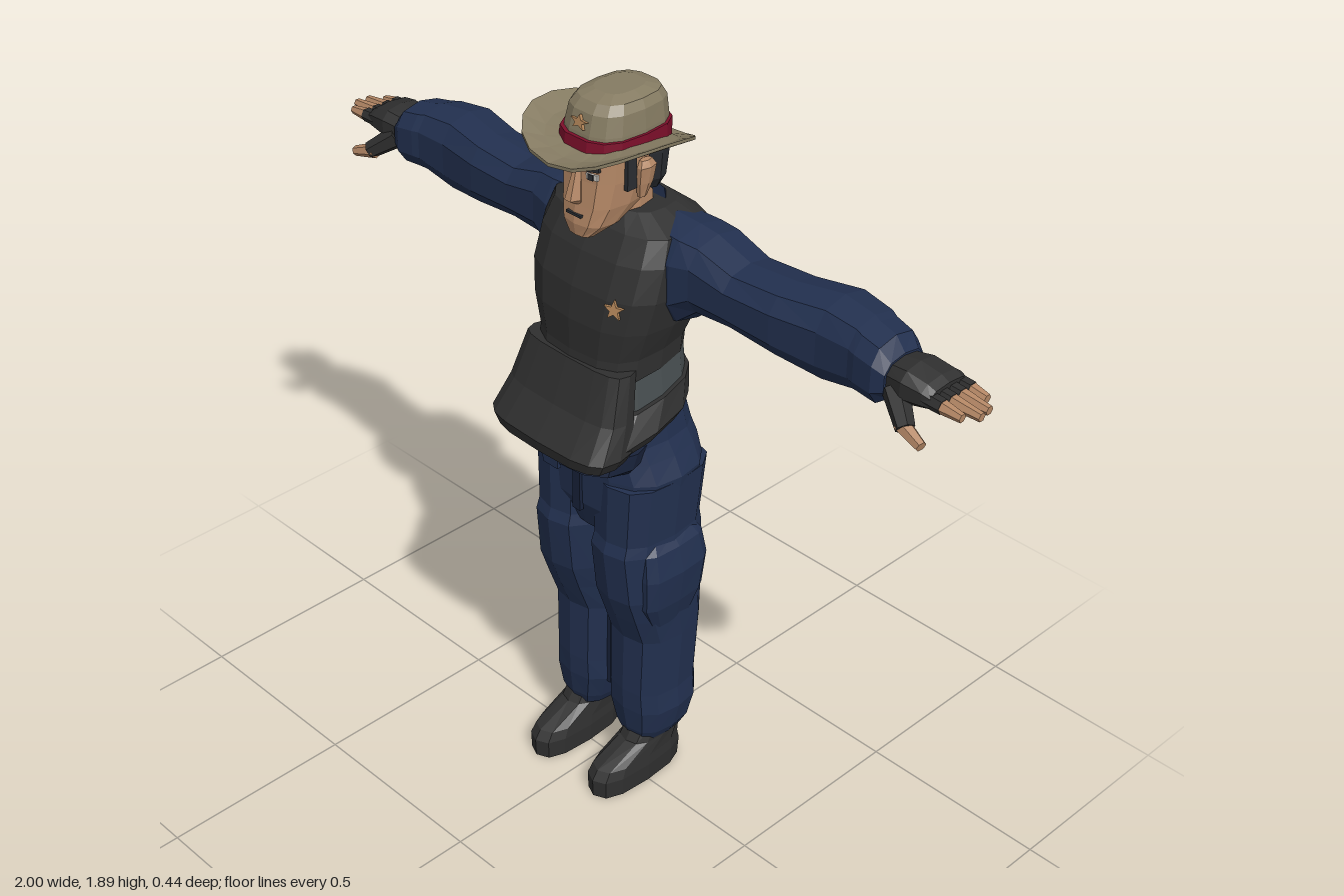
import * as THREE from 'three';

const mat = (name, color) => new THREE.MeshStandardMaterial({ name, color });
const M = {
  navy: mat('navy cloth', 0x22304f), dark: mat('dark navy cloth', 0x18223a),
  black: mat('black vest', 0x2f2f2f), slate: mat('slate strap', 0x474e50),
  skin: mat('skin', 0xb58866), hat: mat('khaki felt', 0x857b62),
  red: mat('red band', 0x7c0f2a), hair: mat('dark hair', 0x2a2d32),
  gold: mat('badge brass', 0xb5875a), white: mat('eye white', 0xc9c6c0),
};

// Faceted closed loft. Ring: [y, centre x, half width, front z, back z, tilt]
function loft(rings, n = 12, p = 0.75) {
  const pw = v => Math.sign(v) * Math.abs(v) ** p;
  const pts = rings.map(([y, cx, rx, zf, zb, tilt = 0]) => {
    const zc = (zf + zb) / 2, rz = (zf - zb) / 2;
    return Array.from({ length: n }, (_, j) => {
      const a = (j / n) * Math.PI * 2, dz = rz * pw(Math.sin(a));
      return [cx + rx * pw(Math.cos(a)), y - tilt * dz, zc + dz];
    });
  });
  const centre = ([y, cx, , zf, zb]) => [cx, y, (zf + zb) / 2];
  const c0 = centre(rings[0]), c1 = centre(rings.at(-1)), out = [];
  for (let j = 0; j < n; j++) {
    const k = (j + 1) % n;
    for (let i = 0; i < pts.length - 1; i++) {
      const a = pts[i][j], b = pts[i][k], c = pts[i + 1][k], d = pts[i + 1][j];
      out.push(...a, ...d, ...b, ...b, ...d, ...c);
    }
    out.push(...c0, ...pts[0][j], ...pts[0][k], ...c1, ...pts.at(-1)[k], ...pts.at(-1)[j]);
  }
  const g = new THREE.BufferGeometry();
  g.setAttribute('position', new THREE.Float32BufferAttribute(out, 3));
  return facet(g);
}

function facet(g) {
  const f = g.index ? g.toNonIndexed() : g;
  f.computeVertexNormals();
  return f;
}

// Mirror across x and restore the triangle order
function mirror(g) {
  const m = g.clone().scale(-1, 1, 1), p = m.attributes.position;
  const u = new THREE.Vector3(), v = new THREE.Vector3();
  for (let i = 0; i < p.count; i += 3) {
    u.fromBufferAttribute(p, i + 1);
    v.fromBufferAttribute(p, i + 2);
    p.setXYZ(i + 1, v.x, v.y, v.z);
    p.setXYZ(i + 2, u.x, u.y, u.z);
  }
  return facet(m);
}

// Tapered rod between two points
function rod(a, b, r0, r1) {
  const A = new THREE.Vector3(...a), B = new THREE.Vector3(...b), d = B.clone().sub(A);
  const g = new THREE.CylinderGeometry(r1, r0, d.length(), 6);
  g.applyQuaternion(new THREE.Quaternion().setFromUnitVectors(new THREE.Vector3(0, 1, 0), d.normalize()));
  return facet(g.translate(...A.add(B).multiplyScalar(0.5).toArray()));
}

function box(w, h, d, x, y, z, ry = 0, rz = 0) {
  return facet(new THREE.BoxGeometry(w, h, d).rotateZ(rz).rotateY(ry).translate(x, y, z));
}

function star(r) {
  const s = new THREE.Shape();
  for (let i = 0; i < 10; i++) {
    const a = Math.PI / 2 + (i * Math.PI) / 5, q = i % 2 ? r * 0.42 : r;
    s[i ? 'lineTo' : 'moveTo'](q * Math.cos(a), q * Math.sin(a));
  }
  return facet(new THREE.ExtrudeGeometry(s, { depth: 0.008, bevelEnabled: false }));
}

export function createModel() {
  const root = new THREE.Group();
  root.name = 'hatted guard';
  const add = (name, g, m) => {
    const mesh = new THREE.Mesh(g, m);
    mesh.name = name;
    root.add(mesh);
  };
  const pair = (name, g, m) => {
    add('left ' + name, g, m);
    add('right ' + name, mirror(g), m);
  };

  // Boots and baggy trousers
  pair('boot', loft([[0, 0.107, 0.055, 0.145, -0.14], [0.05, 0.107, 0.056, 0.147, -0.145],
    [0.075, 0.107, 0.052, 0.13, -0.14], [0.115, 0.107, 0.05, 0.03, -0.14], [0.16, 0.107, 0.05, 0, -0.14]]), M.black);
  pair('trouser leg', loft([[0.12, 0.1, 0.06, 0.01, -0.15], [0.15, 0.1, 0.076, 0.02, -0.165],
    [0.22, 0.097, 0.094, 0.03, -0.18], [0.28, 0.096, 0.09, 0.032, -0.18], [0.45, 0.097, 0.094, 0.03, -0.19],
    [0.53, 0.1, 0.094, 0.06, -0.19], [0.6, 0.1, 0.097, 0.085, -0.19], [0.74, 0.097, 0.096, 0.1, -0.19],
    [0.77, 0.097, 0.093, 0.09, -0.185], [0.93, 0.1, 0.098, 0.088, -0.2]]), M.navy);
  pair('thigh pocket', loft([[0.51, 0.165, 0.025, 0.01, -0.12], [0.58, 0.17, 0.037, 0.045, -0.15],
    [0.67, 0.17, 0.046, 0.05, -0.16], [0.74, 0.165, 0.037, 0.045, -0.15], [0.77, 0.16, 0.022, 0.03, -0.13]], 10, 0.6), M.navy);
  pair('inner seam', box(0.03, 0.5, 0.1, 0.016, 0.46, -0.07), M.dark);
  add('hips', loft([[0.76, 0, 0.12, 0.06, -0.15], [0.84, 0, 0.19, 0.088, -0.192], [0.94, 0, 0.2, 0.09, -0.205],
    [0.99, 0, 0.178, 0.095, -0.205], [1.03, 0, 0.162, 0.1, -0.195], [1.13, 0, 0.15, 0.08, -0.165]], 16), M.navy);
  add('belt', loft([[0.975, 0, 0.14, 0.115, 0], [1.0, 0, 0.162, 0.175, -0.04], [1.04, 0, 0.165, 0.16, -0.05]], 12), M.dark);
  add('buckle', box(0.05, 0.035, 0.012, 0, 1.005, 0.172), M.navy);
  add('fly', box(0.025, 0.16, 0.012, 0, 0.9, 0.09), M.dark);

  // Vest, side straps and flared hem
  add('vest', loft([[1.24, 0, 0.161, 0.12, -0.16, 0.15], [1.29, 0, 0.163, 0.113, -0.163, 0.08],
    [1.36, 0, 0.187, 0.115, -0.182], [1.44, 0, 0.203, 0.105, -0.202], [1.52, 0, 0.203, 0.075, -0.208],
    [1.58, 0, 0.19, 0.04, -0.195], [1.612, 0, 0.11, 0, -0.155]], 16, 0.7), M.black);
  add('waist strap', loft([[1.14, 0, 0.172, 0.12, -0.16, 0.2], [1.26, 0, 0.156, 0.108, -0.157, 0.2]], 16, 0.7), M.slate);
  add('hem', loft([[1.075, 0, 0.185, 0.205, -0.135, 0.2], [1.105, 0, 0.2, 0.212, -0.158, 0.2],
    [1.17, 0, 0.178, 0.135, -0.168, 0.22]], 16, 0.7), M.black);
  add('front panel', loft([[1.045, 0, 0.18, 0.215, 0.07], [1.075, 0, 0.196, 0.222, 0.06],
    [1.15, 0, 0.18, 0.165, 0.05], [1.26, 0, 0.16, 0.122, 0.03]], 16, 0.6), M.black);
  const badge = star(0.025).rotateX(-0.1).rotateY(0.35).translate(0.125, 1.425, 0.091);
  add('chest star', facet(badge), M.gold);
  add('collar', loft([[1.54, 0, 0.115, 0.04, -0.18, 0.1], [1.6, 0, 0.088, 0.005, -0.14, 0.3]], 12), M.dark);

  // Sleeves, lofted upright then laid along x
  const along = (rings, n, p) => facet(loft(rings, n, p).rotateZ(-Math.PI / 2));
  pair('sleeve', along([[0.13, -1.475, 0.13, 0, -0.19], [0.2, -1.48, 0.12, 0.005, -0.2], [0.25, -1.498, 0.093, -0.005, -0.2],
    [0.35, -1.487, 0.074, -0.01, -0.19], [0.48, -1.483, 0.085, -0.015, -0.195], [0.6, -1.481, 0.099, -0.03, -0.217],
    [0.69, -1.487, 0.085, -0.03, -0.2], [0.71, -1.487, 0.081, -0.025, -0.19], [0.76, -1.482, 0.078, -0.022, -0.18],
    [0.787, -1.478, 0.05, -0.035, -0.165]], 10), M.navy);
  pair('glove', along([[0.77, -1.478, 0.042, -0.045, -0.155], [0.83, -1.484, 0.046, -0.033, -0.165],
    [0.88, -1.482, 0.034, -0.04, -0.173], [0.9, -1.479, 0.026, -0.045, -0.17]], 10), M.black);

  // Fingerless gloves: covered knuckles and bare fingertips
  [0.975, 1.0, 0.995, 0.965].forEach((tip, i) => {
    const z = -0.061 - i * 0.031;
    pair('knuckle ' + (i + 1), rod([0.88, 1.48, z], [0.925, 1.478, z], 0.019, 0.018), M.black);
    pair('finger ' + (i + 1), rod([0.92, 1.478, z], [tip, 1.474, z], 0.017, 0.011), M.skin);
  });
  pair('thumb base', rod([0.8, 1.465, -0.06], [0.865, 1.415, -0.02], 0.03, 0.022), M.black);
  pair('thumb', rod([0.85, 1.418, -0.025], [0.915, 1.398, -0.012], 0.02, 0.013), M.skin);

  // Neck, head and face
  add('neck', loft([[1.5, 0, 0.078, 0.045, -0.12], [1.575, 0, 0.073, 0.035, -0.115], [1.68, 0, 0.068, 0.03, -0.11]], 10), M.skin);
  add('head', loft([[1.565, 0, 0.034, 0.092, 0.045], [1.595, 0, 0.064, 0.097, -0.03], [1.64, 0, 0.08, 0.092, -0.085],
    [1.7, 0, 0.088, 0.086, -0.11], [1.76, 0, 0.09, 0.085, -0.12], [1.81, 0, 0.08, 0.07, -0.12]], 12), M.skin);
  add('nose', loft([[1.645, 0, 0.014, 0.1, 0.07], [1.657, 0, 0.019, 0.118, 0.07], [1.73, 0, 0.009, 0.093, 0.07]], 6, 1), M.skin);
  add('mouth', box(0.045, 0.006, 0.008, 0, 1.618, 0.094), M.hair);
  pair('eye', box(0.03, 0.014, 0.008, 0.041, 1.718, 0.078, 0.19), M.white);
  pair('pupil', box(0.014, 0.014, 0.008, 0.04, 1.718, 0.081, 0.19), M.hair);
  pair('eyebrow', box(0.042, 0.01, 0.008, 0.041, 1.736, 0.08, 0.19, 0.15), M.hair);
  pair('ear', loft([[1.655, 0.092, 0.009, -0.01, -0.035], [1.69, 0.097, 0.012, -0.003, -0.05],
    [1.73, 0.102, 0.013, 0, -0.055], [1.745, 0.098, 0.009, -0.01, -0.045]], 6, 1), M.skin);
  pair('sideburn', box(0.012, 0.09, 0.028, 0.087, 1.725, 0.008), M.hair);
  add('hair', loft([[1.64, 0, 0.066, -0.07, -0.12], [1.67, 0, 0.084, -0.045, -0.132],
    [1.74, 0, 0.094, -0.03, -0.137], [1.8, 0, 0.092, -0.02, -0.135]], 12), M.hair);

  // Hat: brim curled up at the sides, dented crown, red band
  const brim = loft([[1.752, 0, 0.085, 0.08, -0.14], [1.742, 0, 0.135, 0.125, -0.165], [1.743, 0, 0.182, 0.17, -0.19],
    [1.751, 0, 0.182, 0.17, -0.19], [1.754, 0, 0.135, 0.125, -0.165], [1.77, 0, 0.085, 0.08, -0.14]], 20, 0.85);
  const p = brim.attributes.position;
  for (let i = 0; i < p.count; i++) {
    p.setY(i, p.getY(i) + 2 * p.getX(i) ** 2 + 0.1 * p.getZ(i));
  }
  add('hat brim', facet(brim), M.hat);
  add('hat crown', loft([[1.755, 0, 0.093, 0.088, -0.148], [1.81, 0, 0.09, 0.08, -0.15], [1.855, 0, 0.084, 0.068, -0.146],
    [1.875, 0, 0.072, 0.05, -0.135], [1.886, 0, 0.045, 0.015, -0.1]], 14, 0.7), M.hat);
  add('hat band', loft([[1.76, 0, 0.099, 0.095, -0.155], [1.802, 0, 0.097, 0.09, -0.156]], 14, 0.7), M.red);
  add('hat badge', facet(star(0.022).scale(1.2, 0.8, 1).rotateX(-0.2).translate(0, 1.833, 0.073)), M.gold);
  return root;
}
